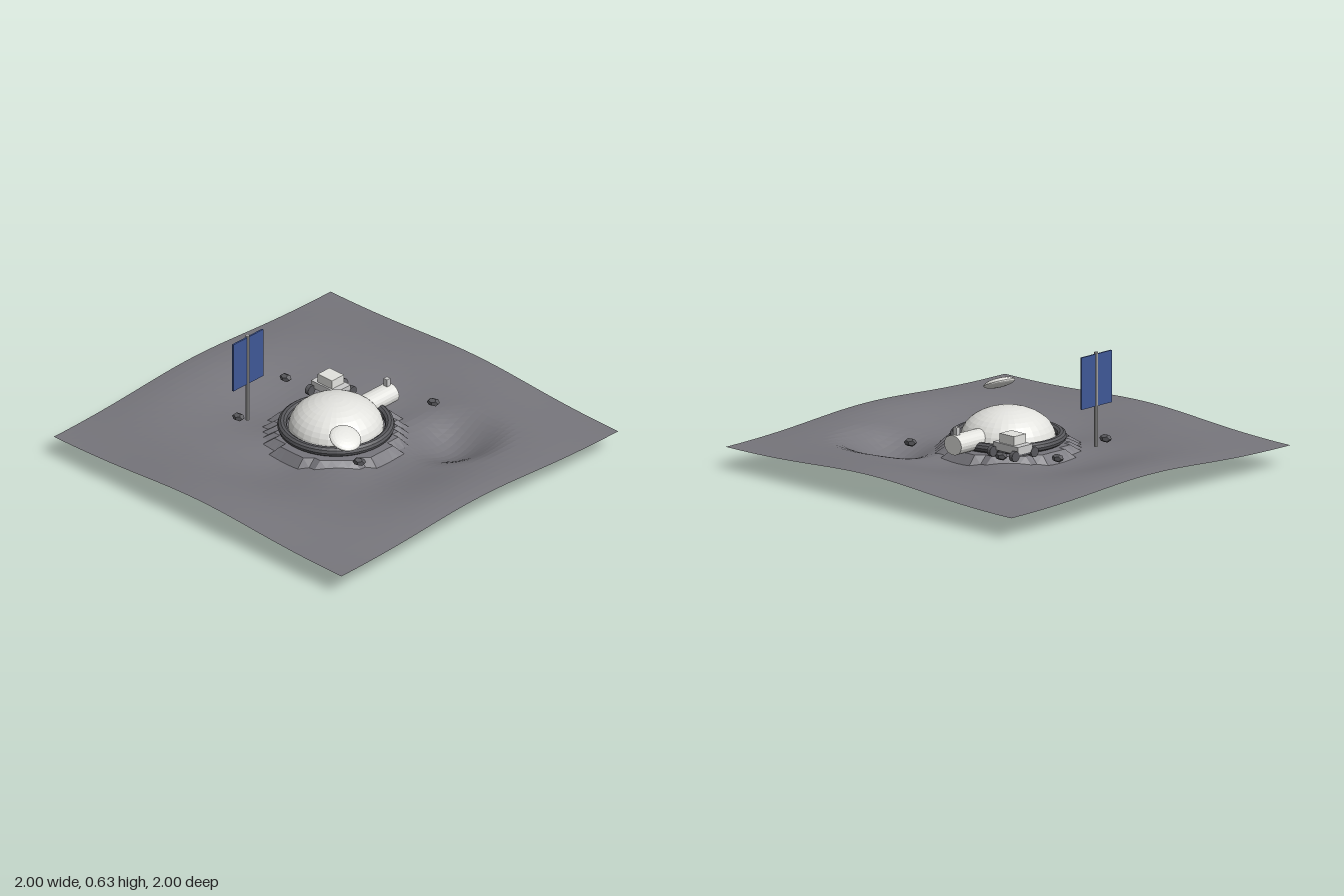
import * as THREE from 'three';

const mat = (name, color, side = THREE.FrontSide) => {
  const m = new THREE.MeshStandardMaterial({ color, side, flatShading: true });
  m.name = name;
  return m;
};

// Rolling rings around the base, a level pad in the middle and one crater
function groundHeight(x, z) {
  const r = Math.hypot(x, z);
  if (r < 0.33) return 0.143;
  const lobes = 0.65 + 0.35 * Math.cos(4 * Math.atan2(z, x));
  const wave = 0.035 * Math.cos(6.3 * (r - 0.9)) * lobes;
  const d = Math.hypot(x - 0.45, z + 0.38) / 0.32;
  const crater = d < 1 ? 0.1 * Math.cos((d * Math.PI) / 2) ** 2 : 0;
  return Math.max(0.012, 0.125 + wave - crater);
}

export function createModel() {
  const model = new THREE.Group();
  model.name = 'moonBase';

  const soil = mat('grey soil', 0x77767c, THREE.DoubleSide);
  const white = mat('off white', 0xe2e2de);
  const silver = mat('silver', 0xcacaca);
  const dark = mat('dark grey', 0x58585c);
  const navy = mat('navy blue', 0x3f5796);

  const add = (parent, name, geometry, material, x = 0, y = 0, z = 0) => {
    const mesh = new THREE.Mesh(geometry, material);
    mesh.name = name;
    mesh.position.set(x, y, z);
    parent.add(mesh);
    return mesh;
  };

  // Terrain
  const ground = new THREE.PlaneGeometry(2, 2, 50, 50).rotateX(-Math.PI / 2);
  const p = ground.attributes.position;
  for (let i = 0; i < p.count; i++) p.setY(i, groundHeight(p.getX(i), p.getZ(i)));
  ground.computeVertexNormals();
  add(model, 'terrain', ground, soil);

  // Habitat: dome, base ring and airlock
  const habitat = new THREE.Group();
  habitat.name = 'habitat';
  model.add(habitat);
  add(habitat, 'dome', new THREE.SphereGeometry(0.24, 32, 20).scale(1, 0.66, 1), white, 0, 0.162, 0);
  add(habitat, 'baseRing', new THREE.TorusGeometry(0.27, 0.025, 10, 48).rotateX(Math.PI / 2), dark, 0, 0.17, 0);
  add(habitat, 'airlock', new THREE.CylinderGeometry(0.06, 0.06, 0.2, 20).rotateX(Math.PI / 2).scale(1, 0.85, 1),
    white, 0, 0.193, -0.295);
  add(habitat, 'airlockBeacon', new THREE.BoxGeometry(0.025, 0.04, 0.025), silver, 0, 0.263, -0.368);

  // Rover with four wheels
  const rover = new THREE.Group();
  rover.name = 'rover';
  rover.position.set(-0.248, 0, -0.22);
  model.add(rover);
  add(rover, 'roverBody', new THREE.BoxGeometry(0.175, 0.04, 0.105), silver, 0, 0.2, 0);
  add(rover, 'roverCabin', new THREE.BoxGeometry(0.1, 0.055, 0.085), white, 0, 0.24, 0);
  for (const sx of [-1, 1]) {
    for (const sz of [-1, 1]) {
      add(rover, 'roverWheel', new THREE.CylinderGeometry(0.027, 0.027, 0.022, 14).rotateZ(Math.PI / 2),
        dark, sx * 0.078, 0.175, sz * 0.068);
    }
    add(rover, 'roverAxle', new THREE.BoxGeometry(0.014, 0.014, 0.14), dark, sx * 0.078, 0.175, 0);
  }

  // Dish
  const dish = add(model, 'dish', new THREE.SphereGeometry(0.082, 24, 12).scale(1, 0.28, 1), white, 0.322, 0.333, 0.267);
  dish.rotation.set(0.1, 0, -0.42);

  // Solar mast with a panel on each side
  const mast = new THREE.Group();
  mast.name = 'solarMast';
  mast.position.set(-0.388, 0, 0.235);
  model.add(mast);
  add(mast, 'mastPole', new THREE.CylinderGeometry(0.01, 0.01, 0.49, 10), silver, 0, 0.385, 0);
  for (const s of [-1, 1]) {
    add(mast, 'solarPanel', new THREE.BoxGeometry(0.009, 0.27, 0.1), navy, 0, 0.485, s * 0.058);
  }

  // Scattered rocks
  const rocks = [[-0.5, -0.155], [-0.4, 0.29], [-0.27, -0.325], [0.215, -0.48], [0.345, 0.19]];
  rocks.forEach(([x, z], i) => {
    const rock = add(model, 'rock', new THREE.DodecahedronGeometry(0.035).scale(1, 0.62, 0.7), dark, x, i === 3 ? 0.185 : 0.174, z);
    rock.rotation.y = i * 0.1;
  });

  return model;
}
